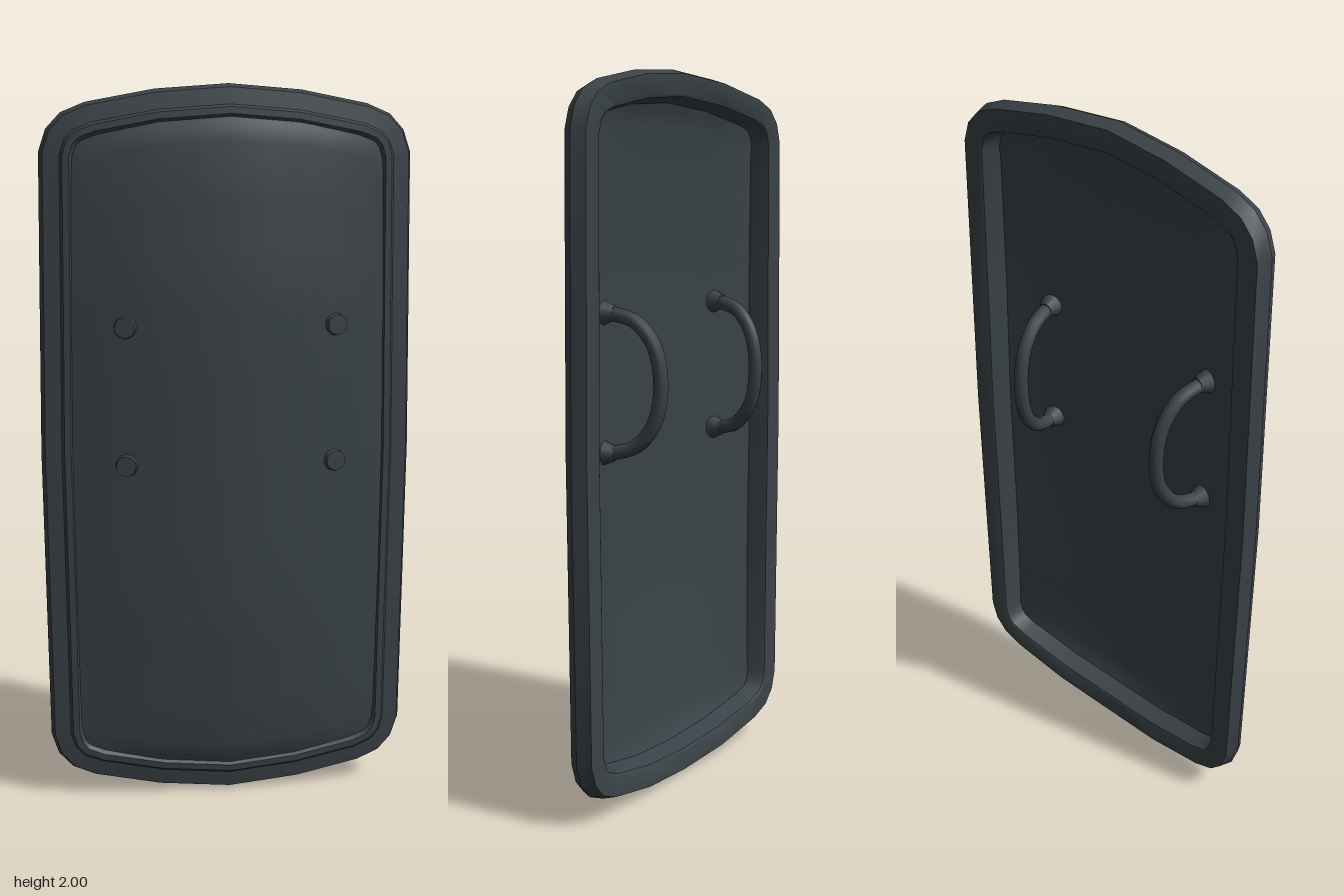
import * as THREE from 'three';
import { toCreasedNormals } from 'three/addons/utils/BufferGeometryUtils.js';

const material = new THREE.MeshStandardMaterial({ color: 0x3a4347, side: THREE.DoubleSide });

// Piecewise linear lookup through [input, output] pairs
function lerpTable(table, t) {
  for (let i = 1; i < table.length; i++) {
    const [a, fa] = table[i - 1], [b, fb] = table[i];
    if (t <= b) return fa + (fb - fa) * (t - a) / (b - a);
  }
  return table[table.length - 1][1];
}

// Grid of points (rows of equal length) to an indexed surface
function surface(rows, closeRows, closeCols) {
  const n = rows[0].length, m = rows.length, index = [];
  for (let i = 0; i < (closeRows ? m : m - 1); i++) {
    for (let j = 0; j < (closeCols ? n : n - 1); j++) {
      const i2 = (i + 1) % m, j2 = (j + 1) % n;
      const a = i * n + j, b = i2 * n + j, c = i2 * n + j2, d = i * n + j2;
      index.push(a, b, c, a, c, d);
    }
  }
  const g = new THREE.BufferGeometry();
  g.setAttribute('position', new THREE.Float32BufferAttribute(rows.flat(2), 3));
  g.setIndex(index);
  g.computeVertexNormals();
  return g;
}

function addMesh(parent, geometry, name) {
  const mesh = new THREE.Mesh(geometry, material);
  mesh.name = name;
  parent.add(mesh);
  return mesh;
}

// The whole shield bends back towards its sides
const bend = x => 0.025 * (1 - Math.min(1, Math.abs(x) / 0.48));

// Rim: a cross-section swept clockwise round the outline
function rimGeometry() {
  const quarter = [[0, 1], [0.2, 0.985], [0.385, 0.95], [0.45, 0.923], [0.49, 0.88], [0.51, 0.82], [0.515, 0.42]];
  const right = [...quarter, [0.52, 0], ...quarter.slice().reverse().map(([x, y]) => [x, -y])];
  const outline = [...right, ...right.slice(1, -1).reverse().map(([x, y]) => [-x, y])];
  // [inset from outline, z]
  const section = [[0.012, -0.04], [0, 0], [0.01, 0.024], [0.055, 0.032], [0.062, 0.042],
    [0.08, 0.044], [0.09, 0.034], [0.088, 0.012], [0.074, -0.036], [0.068, -0.04]];
  const n = outline.length;
  const rows = outline.map(([x, y], i) => {
    const [px, py] = outline[(i + n - 1) % n], [qx, qy] = outline[(i + 1) % n];
    const a = new THREE.Vector2(x - px, y - py).normalize();
    const b = new THREE.Vector2(qx - x, qy - y).normalize();
    const t = a.add(b).normalize();
    return section.map(([d, z]) => [x + t.y * d, 1 + y - t.x * d, z + bend(x)]);
  });
  return toCreasedNormals(surface(rows, true, true), 0.6);
}

// Panel: bulging skin with a soft ridge down the middle, tapering at top and bottom
function panelGeometry(offset) {
  const ridge = [[0, 0.12], [0.2, 0.1], [0.33, 0.07], [0.44, 0.038]];
  const top = [[0, 0.925], [0.2, 0.91], [0.36, 0.88], [0.41, 0.85], [0.44, 0.8]];
  const taper = [[0, 1], [0.46, 1], [0.92, 0.5], [1, 0.02]];
  const half = [0, 0.1, 0.2, 0.27, 0.33, 0.38, 0.41, 0.44];
  const xs = [...half.slice(1).reverse().map(x => -x), ...half];
  const vs = [0, 0.23, 0.46, 0.6, 0.76, 0.92, 0.97, 1];
  const rows = xs.map(x => {
    const ax = Math.abs(x), edge = 0.03 + bend(x), h = lerpTable(top, ax);
    const column = [...vs.slice(1).reverse().map(v => -v), ...vs];
    return column.map(v => {
      const z = edge + (lerpTable(ridge, ax) - edge) * lerpTable(taper, Math.abs(v));
      return [x, 1 + v * h, z + offset];
    });
  });
  return surface(rows, false, false);
}

// Grip: bowed tube on two flared feet, bolted through to the front
function createHandle(name) {
  const handle = new THREE.Group();
  handle.name = name;
  const bow = [[0.19, 0], [0.185, -0.05], [0.167, -0.11], [0.105, -0.163]];
  const points = [...bow, [0, -0.183], ...bow.slice().reverse().map(([y, z]) => [-y, z])]
    .map(([y, z]) => new THREE.Vector3(0, y, z));
  addMesh(handle, new THREE.TubeGeometry(new THREE.CatmullRomCurve3(points), 28, 0.02, 10), 'grip');
  for (const s of [-1, 1]) {
    const foot = addMesh(handle, new THREE.CylinderGeometry(0.034, 0.02, 0.035, 12), 'gripFoot');
    foot.rotation.x = Math.PI / 2;
    foot.position.set(0, s * 0.188, -0.036);
    const bolt = addMesh(handle, toCreasedNormals(new THREE.CylinderGeometry(0.028, 0.034, 0.03, 12), 0.6), 'boltHead');
    bolt.rotation.x = Math.PI / 2;
    bolt.position.set(0, s * 0.19, 0);
  }
  return handle;
}

export function createModel() {
  const shield = new THREE.Group();
  shield.name = 'shield';
  addMesh(shield, rimGeometry(), 'rim');
  addMesh(shield, panelGeometry(0), 'frontPanel');
  addMesh(shield, panelGeometry(-0.02), 'backPanel');
  for (const s of [-1, 1]) {
    const handle = createHandle(s > 0 ? 'leftHandle' : 'rightHandle');
    handle.position.set(s * 0.29, 1.165, 0.08);
    handle.rotation.y = s * 0.2;
    shield.add(handle);
  }
  return shield;
}
